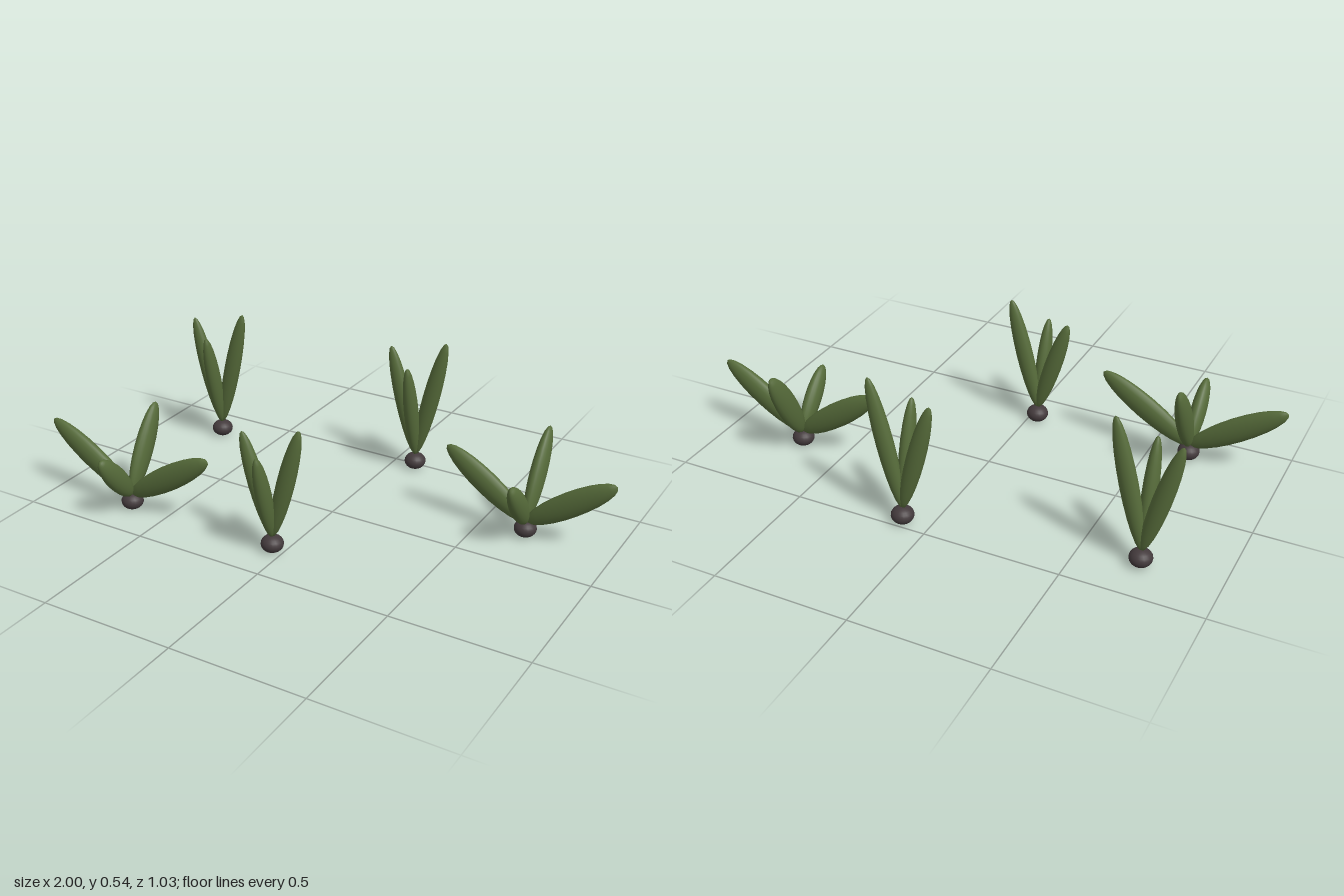
import * as THREE from 'three';

const leafMaterial = new THREE.MeshStandardMaterial({ color: 0x566b3a });
const bulbMaterial = new THREE.MeshStandardMaterial({ color: 0x433a3c });
const ball = new THREE.SphereGeometry(1, 20, 12);

const LEAF_BASE = 0.06;
const HEADING = { left: 0, back: Math.PI / 2, right: Math.PI, front: -Math.PI / 2 };

// A leaf is a flattened ellipsoid growing outward by `out` and upward by `up`.
function makeLeaf({ side, out, up, width, thick }) {
  const pivot = new THREE.Group();
  pivot.name = side + 'Leaf';
  pivot.rotation.y = HEADING[side];
  const blade = new THREE.Mesh(ball, leafMaterial);
  blade.name = side + 'LeafBlade';
  blade.scale.set(width / 2, Math.hypot(out, up) / 2, thick / 2);
  blade.rotation.z = -Math.atan2(out, up);
  blade.position.set(out / 2, LEAF_BASE + up / 2, 0);
  pivot.add(blade);
  return pivot;
}

// A plant is a squashed bulb with leaves fanning out of its top.
function makePlant(name, x, z, leaves) {
  const plant = new THREE.Group();
  plant.name = name;
  plant.position.set(x, 0, z);
  const bulb = new THREE.Mesh(ball, bulbMaterial);
  bulb.name = 'bulb';
  bulb.scale.set(0.041, 0.032, 0.041);
  bulb.position.y = 0.033;
  plant.add(bulb, ...leaves.map(makeLeaf));
  return plant;
}

// Upright plant: three narrow leaves; `drop` shortens all of them.
const uprightLeaves = (drop) => [
  { side: 'left', out: 0.115, up: 0.485 - drop, width: 0.066, thick: 0.053 },
  { side: 'right', out: 0.115, up: 0.43 - drop, width: 0.066, thick: 0.053 },
  { side: 'front', out: 0.09, up: 0.392 - drop, width: 0.066, thick: 0.053 },
];

// Spreading plant: four broad leaves, the side pair reaching out by `reach`.
const spreadingLeaves = (reach) => [
  { side: 'left', out: reach, up: 0.222, width: 0.094, thick: 0.057 },
  { side: 'right', out: reach, up: 0.222, width: 0.094, thick: 0.057 },
  { side: 'front', out: 0.163, up: 0.2, width: 0.084, thick: 0.057 },
  { side: 'back', out: 0.172, up: 0.305, width: 0.094, thick: 0.057 },
];

export function createModel() {
  const model = new THREE.Group();
  model.name = 'plantCluster';
  model.add(
    makePlant('uprightPlantBackRight', -0.72, -0.335, uprightLeaves(0)),
    makePlant('uprightPlantBack', 0.098, -0.47, uprightLeaves(0)),
    makePlant('uprightPlantFront', -0.038, 0.347, uprightLeaves(0.052)),
    makePlant('spreadingPlantLeft', 0.678, -0.198, spreadingLeaves(0.318)),
    makePlant('spreadingPlantRight', -0.65, 0.347, spreadingLeaves(0.348)),
  );
  return model;
}
